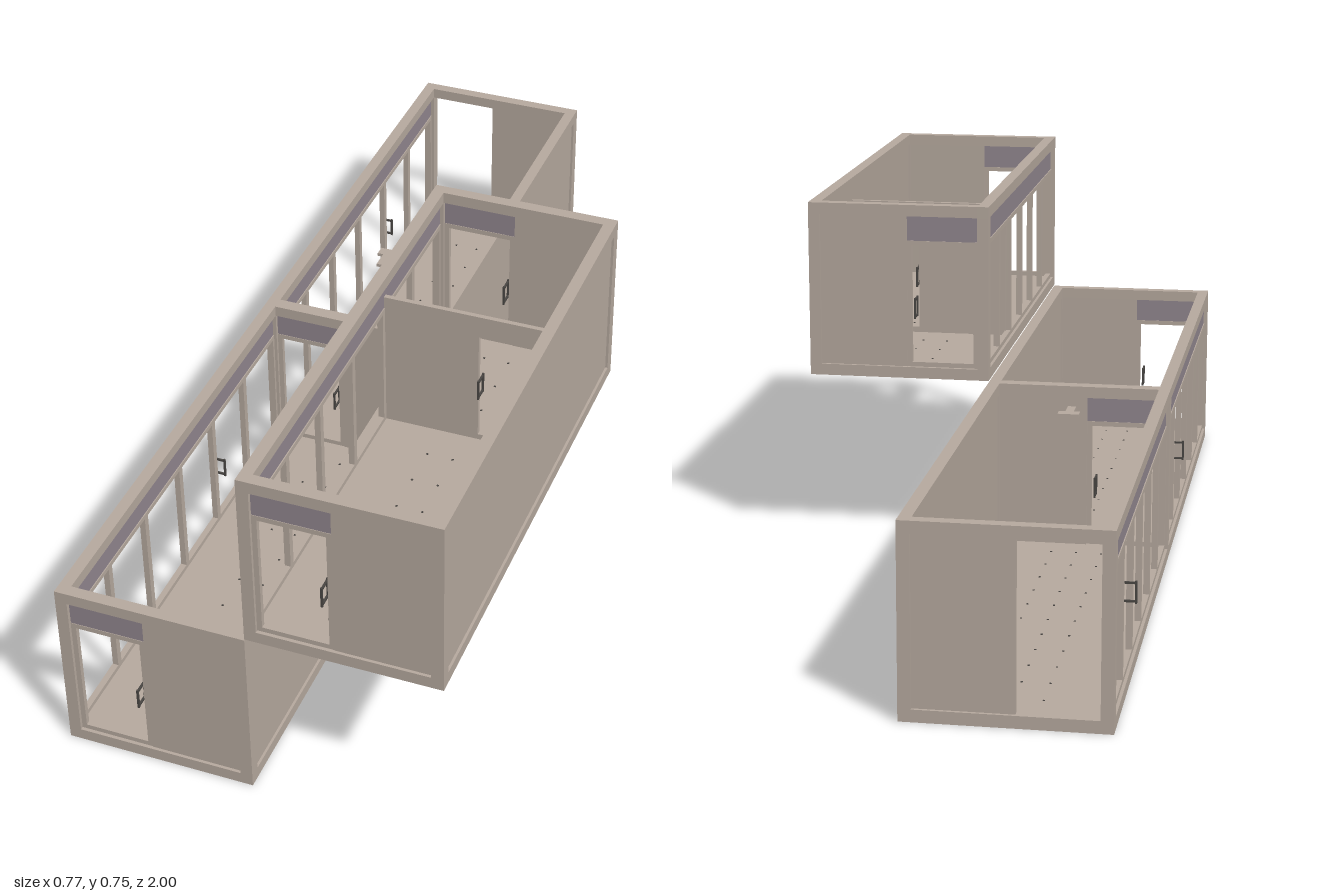
import * as THREE from 'three';

const material = (name, color) => {
  const m = new THREE.MeshStandardMaterial({ color });
  m.name = name;
  return m;
};
const beige = material('beige panel', 0xb8aba0);
const mauve = material('mauve screen', 0x938890);
const dark = material('dark metal', 0x4a4744);

const W = 0.385, H = 0.372, L = 1.01; // one module
const T = 0.024; // frame section

// Box given by its two extreme corners
function block(parent, name, mat, x0, x1, y0, y1, z0, z1) {
  const mesh = new THREE.Mesh(new THREE.BoxGeometry(x1 - x0, y1 - y0, z1 - z0), mat);
  mesh.position.set((x0 + x1) / 2, (y0 + y1) / 2, (z0 + z1) / 2);
  mesh.name = name;
  parent.add(mesh);
  return mesh;
}

// Open rectangular frame lying across z
function doorFrame(parent, x0, x1, y0, y1, z, t = 0.008) {
  const a = z - 0.005, b = z + 0.005;
  block(parent, 'doorStile', beige, x0, x0 + t, y0, y1, a, b);
  block(parent, 'doorStile', beige, x1 - t, x1, y0, y1, a, b);
  block(parent, 'doorRail', beige, x0 + t, x1 - t, y0, y0 + t, a, b);
  block(parent, 'doorRail', beige, x0 + t, x1 - t, y1 - t, y1, a, b);
}

// Bar handle with two stand-offs on each side of a door at (x, z)
function handle(parent, x, z, alongX) {
  const g = new THREE.Group();
  g.name = 'doorHandle';
  for (const s of [-1, 1]) {
    block(g, 'handleBar', dark, -0.002, 0.002, 0.13, 0.174, s * 0.014 - 0.002, s * 0.014 + 0.002);
    for (const y of [0.132, 0.168])
      block(g, 'handleMount', dark, -0.002, 0.002, y, y + 0.004, Math.min(0, s * 0.014), Math.max(0, s * 0.014));
  }
  g.position.set(x, 0, z);
  if (alongX) g.rotation.y = Math.PI / 2;
  parent.add(g);
}

// End wall: solid half on the left, opening on the right, optionally with door and screen
function endWall(parent, z, withDoor) {
  const mid = 0.175;
  block(parent, 'endPanel', beige, mid, W - T, T, 0.35, z - 0.006, z + 0.006);
  if (!withDoor) return;
  block(parent, 'endScreen', mauve, T, mid, 0.295, H - T, z - 0.004, z + 0.004);
  doorFrame(parent, T, mid, T, 0.295, z, 0.01);
  handle(parent, 0.157, z, false);
}

// Glazed long side with mullions, screen above and rails
function glazedSide(parent) {
  const x = 0.012, bays = 6, z0 = T, z1 = L - T;
  block(parent, 'sideScreen', mauve, x - 0.004, x + 0.004, 0.295, H - T, z0, z1);
  for (const y of [T, 0.285])
    block(parent, 'sideRail', beige, x - 0.006, x + 0.006, y, y + 0.01, z0, z1);
  for (let i = 0; i <= bays; i++) {
    const z = z0 + (z1 - z0) * i / bays;
    block(parent, 'mullion', beige, x - 0.006, x + 0.006, T, 0.295, z - 0.007, z + 0.007);
  }
}

function moduleUnit(name, frontDoor, backDoor) {
  const g = new THREE.Group();
  g.name = name;
  // Frame of posts and beams
  for (const x of [0, W - T]) {
    for (const z of [0, L - T]) block(g, 'cornerPost', beige, x, x + T, T, H - T, z, z + T);
    block(g, 'topBeam', beige, x, x + T, H - T, H, 0, L);
    block(g, 'bottomBeam', beige, x, x + T, 0, T, 0, L);
  }
  for (const z of [0, L - T]) {
    block(g, 'topCrossBeam', beige, T, W - T, H - T, H, z, z + T);
    block(g, 'bottomCrossBeam', beige, T, W - T, 0, T, z, z + T);
  }
  // Floor with small fixing dots
  block(g, 'floor', beige, T, W - T, 0.001, T, T, L - T);
  for (let i = 0; i < 3; i++)
    for (let j = 0; j < 11; j++) {
      const x = 0.135 + i * 0.053, z = 0.08 + j * 0.085;
      block(g, 'floorDot', dark, x - 0.002, x + 0.002, T, T + 0.001, z - 0.002, z + 0.002);
    }
  // Solid long side, slightly recessed
  block(g, 'solidWall', beige, W - T + 0.004, W - 0.005, T, 0.349, T, L - T);
  glazedSide(g);
  endWall(g, L - 0.012, frontDoor);
  endWall(g, 0.012, backDoor);
  return g;
}

export function createModel() {
  const root = new THREE.Group();
  root.name = 'modularBuilding';

  const front = moduleUnit('lowerFrontModule', true, true);
  front.position.set(-W, 0, 1 - L);
  handle(front, 0.012, 0.32, true);

  const back = moduleUnit('lowerBackModule', false, false);
  back.position.set(-W, 0, -1);
  handle(back, 0.012, 0.325, true);

  const upper = moduleUnit('upperModule', true, true);
  upper.position.set(0, 0.375, 1 - L);

  // Partition across the upper module with an open-framed door
  const zp = 0.335, p = new THREE.Group();
  p.name = 'partition';
  block(p, 'partitionPanel', beige, 0.016, 0.2, -0.005, 0.32, zp - 0.005, zp + 0.005);
  block(p, 'partitionStrip', beige, 0.345, 0.37, -0.005, 0.32, zp - 0.005, zp + 0.005);
  block(p, 'partitionHead', beige, 0.2, 0.345, 0.285, 0.32, zp - 0.005, zp + 0.005);
  doorFrame(p, 0.2, 0.345, T, 0.285, zp, 0.012);
  handle(p, 0.215, zp, false);
  upper.add(p);

  // Small T-shaped fitting at roof level of the back module
  const fitting = new THREE.Group();
  fitting.name = 'roofFitting';
  block(fitting, 'fittingHead', beige, -0.225, -0.182, 0.372, 0.379, -0.268, -0.245);
  block(fitting, 'fittingStem', beige, -0.212, -0.195, 0.372, 0.379, -0.245, -0.205);

  root.add(front, back, upper, fitting);
  return root;
}
